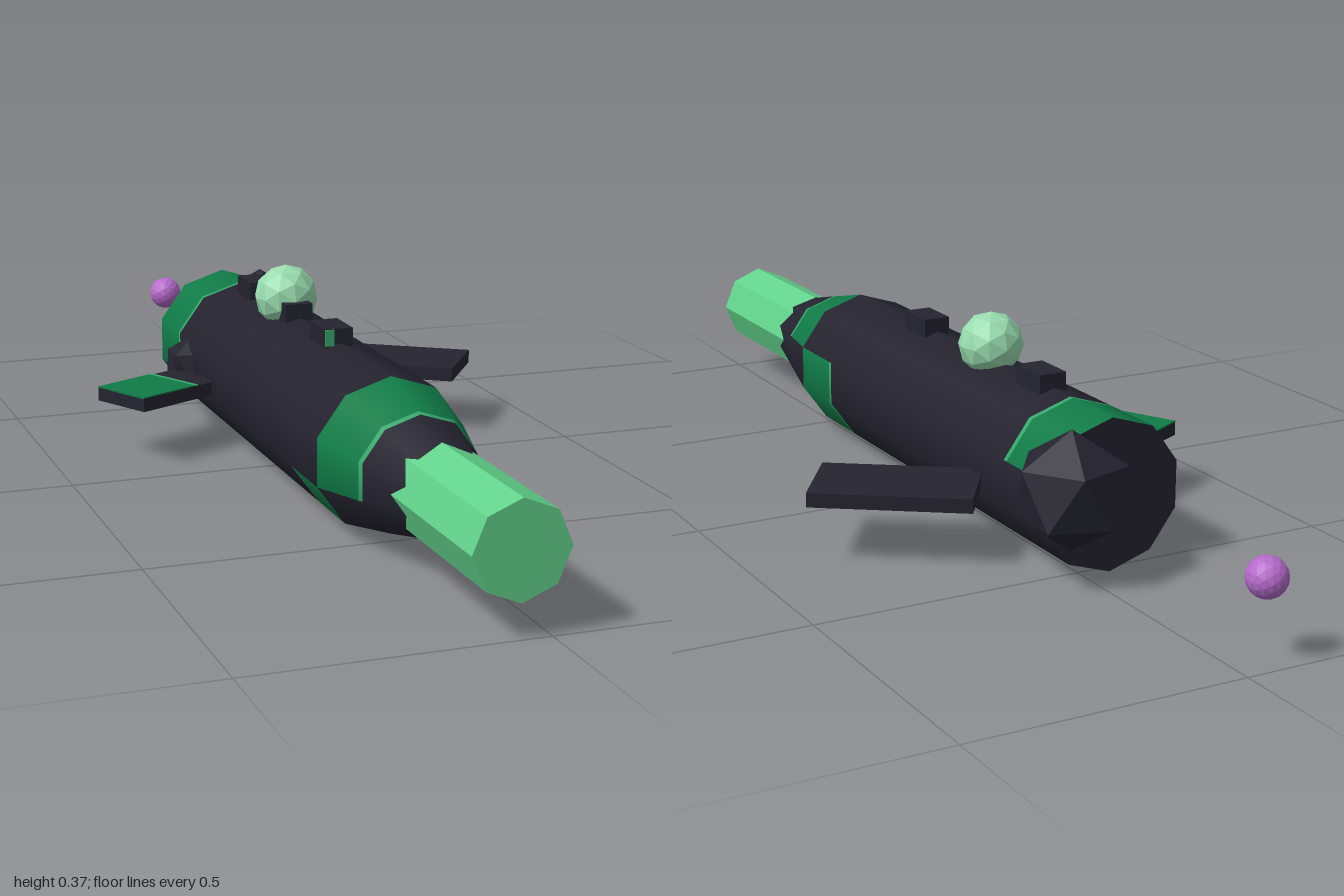
import * as THREE from 'three';

const makeMaterial = (name, color, flatShading = false) => {
  const m = new THREE.MeshStandardMaterial({ color });
  m.name = name;
  m.flatShading = flatShading;
  return m;
};

export function createModel() {
  const group = new THREE.Group();
  const dark = makeMaterial('charcoal', 0x24232f);
  const green = makeMaterial('deepGreen', 0x107b47);
  const trim = makeMaterial('edgeGreen', 0x38a86b);
  const mint = makeMaterial('mintGreen', 0x62d28b, true);
  const pale = makeMaterial('paleMint', 0x98dcae, true);
  const purple = makeMaterial('purple', 0xb66acb, true);

  const CX = -0.052, CY = 0.142, R = 0.139;
  const deg = Math.PI / 180;
  const add = (name, geometry, material, x = 0, y = 0, z = 0, parent = group) => {
    const mesh = new THREE.Mesh(geometry, material);
    mesh.name = name;
    mesh.position.set(x, y, z);
    parent.add(mesh);
    return mesh;
  };

  // Hull radius: straight barrel, tapering toward the front
  const radiusAt = z => (z > 0.46 ? R - 0.248 * (z - 0.46) : R);

  // Each half of the ten-sided hull is a chain of coloured sections along z
  const hullHalf = (name, startDeg, sections) => {
    sections.forEach(([z0, z1, material]) => {
      const g = new THREE.CylinderGeometry(radiusAt(z1), radiusAt(z0), z1 - z0, 5, 1, true, startDeg * deg, Math.PI);
      g.rotateX(Math.PI / 2);
      add(name, g, material, CX, CY, (z0 + z1) / 2);
    });
  };
  hullHalf('upperHull', 108, [
    [-0.52, -0.39, green], [-0.39, -0.38, trim], [-0.38, 0.46, dark],
    [0.46, 0.583, green], [0.583, 0.594, trim], [0.594, 0.75, dark],
  ]);
  hullHalf('lowerHull', 288, [
    [-0.52, 0.325, dark], [0.325, 0.334, trim], [0.334, 0.46, green], [0.46, 0.75, dark],
  ]);
  const cap = new THREE.CircleGeometry(R, 10, Math.PI / 2);
  cap.rotateY(Math.PI);
  add('rearCap', cap, dark, CX, CY, -0.52);

  // Eight-sided nose
  const nose = new THREE.CylinderGeometry(0.082, 0.082, 0.5, 8);
  nose.rotateX(Math.PI / 2);
  add('nose', nose, mint, CX, CY + 0.001, 0.75);

  // Blocks along the spine, with a painted corner on the front one
  [0.16, -0.06, -0.28].forEach(z => add('spineBlock', new THREE.BoxGeometry(0.053, 0.05, 0.084), dark, CX, 0.283, z));
  add('blockPaint', new THREE.BoxGeometry(0.017, 0.03, 0.004), trim, CX - 0.018, 0.292, 0.203);

  // Faceted dome on top and the small ball behind the tail
  add('dome', new THREE.IcosahedronGeometry(0.061, 1), pale, CX, 0.309, -0.096);
  add('trailingBall', new THREE.IcosahedronGeometry(0.035, 2), purple, -0.055, 0.145, -0.964);

  // Twenty-sided pods, standing on a corner
  const pod = (name, r, x, y, z) => {
    const g = new THREE.IcosahedronGeometry(r, 0);
    g.rotateZ(-Math.atan(2 / (1 + Math.sqrt(5))));
    add(name, g, dark, x, y, z);
  };
  pod('tailPod', 0.108, 0.034, 0.167, -0.53);
  pod('sidePod', 0.061, -0.17, 0.13, -0.335);

  // Flat swept fins
  const fin = (name, length, width, x, z, angle) => {
    const g = new THREE.Group();
    g.name = name;
    g.position.set(x, 0.121, z);
    g.rotation.y = angle;
    add(name + 'Blade', new THREE.BoxGeometry(length, 0.026, width), dark, 0, 0, 0, g);
    group.add(g);
    return g;
  };
  fin('largeFin', 0.29, 0.17, 0.2275, -0.2575, -34.5 * deg);
  const small = fin('smallFin', 0.196, 0.13, -0.2835, -0.183, 27.5 * deg);
  add('finPaint', new THREE.BoxGeometry(0.132, 0.003, 0.13), green, -0.032, 0.0135, 0, small);
  add('finTrim', new THREE.BoxGeometry(0.009, 0.003, 0.13), trim, 0.0385, 0.0135, 0, small);

  return group;
}
